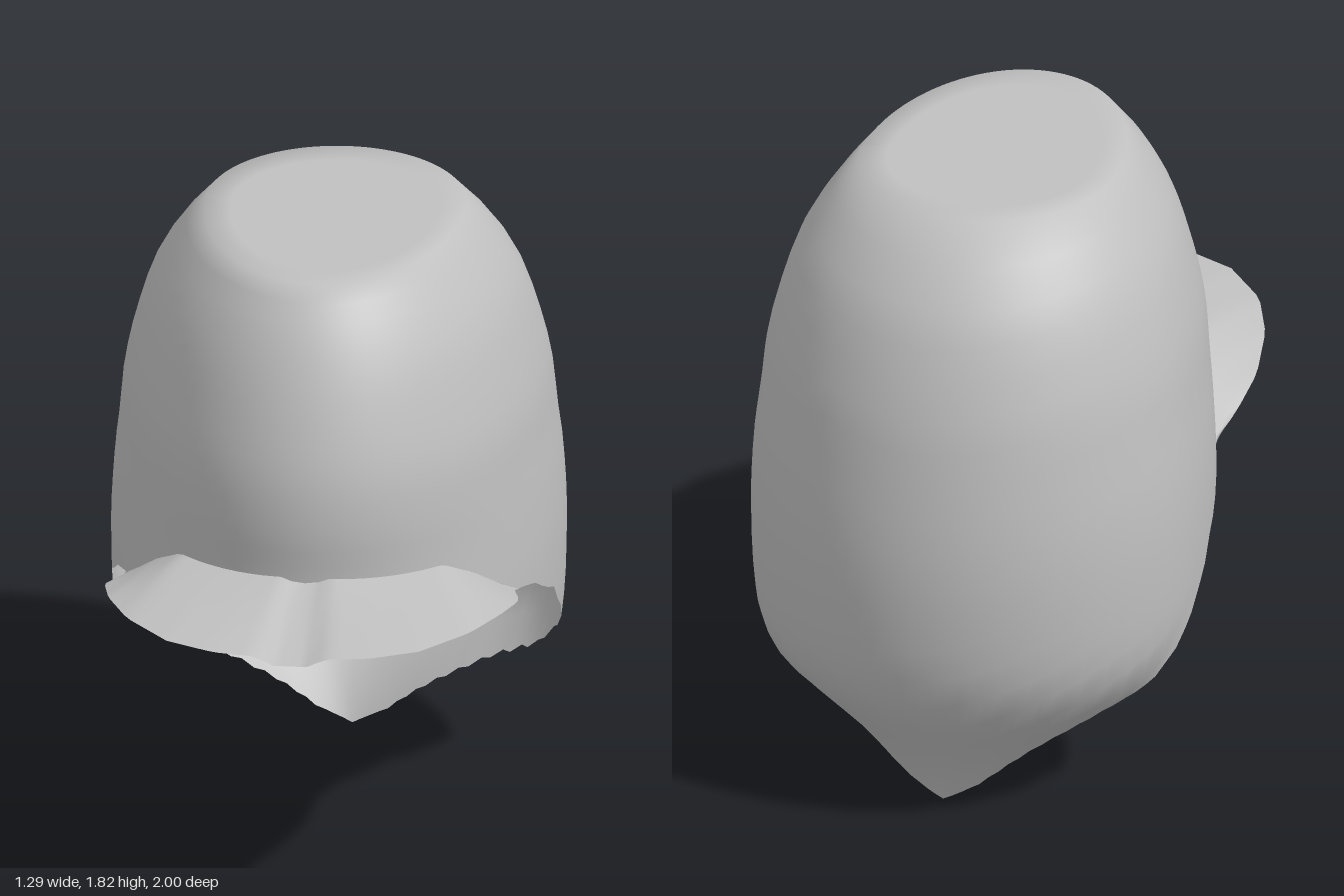
import * as THREE from 'three';

// smooth interpolation through rows of [key, value...]
function sample(rows, t, col) {
  const n = rows.length;
  if (t <= rows[0][0]) return rows[0][col];
  if (t >= rows[n - 1][0]) return rows[n - 1][col];
  let i = 0;
  while (rows[i + 1][0] < t) i++;
  const slope = k => {
    const a = rows[Math.max(k - 1, 0)], b = rows[Math.min(k + 1, n - 1)];
    return (b[col] - a[col]) / (b[0] - a[0]);
  };
  const h = rows[i + 1][0] - rows[i][0], s = (t - rows[i][0]) / h, s2 = s * s, s3 = s2 * s;
  return (2 * s3 - 3 * s2 + 1) * rows[i][col] + (s3 - 2 * s2 + s) * h * slope(i)
    + (3 * s2 - 2 * s3) * rows[i + 1][col] + (s3 - s2) * h * slope(i + 1);
}

// straight interpolation, keeps the ragged rim steps
function linear(rows, t, col) {
  let i = 0;
  while (i < rows.length - 2 && rows[i + 1][0] < t) i++;
  const a = rows[i], b = rows[i + 1];
  const s = THREE.MathUtils.clamp((t - a[0]) / (b[0] - a[0]), 0, 1);
  return a[col] + (b[col] - a[col]) * s;
}

// crown sections: height, half width, front z, widest z, back z
const SECTIONS = [
  [0, 0.40, 0.59, 0.10, -0.69], [0.05, 0.40, 0.59, 0.08, -0.70],
  [0.15, 0.43, 0.59, 0.00, -0.76], [0.28, 0.52, 0.59, -0.20, -0.86],
  [0.38, 0.59, 0.59, -0.34, -0.93], [0.50, 0.63, 0.59, -0.35, -0.975],
  [0.80, 0.645, 0.59, -0.35, -1.0], [1.02, 0.635, 0.59, -0.35, -0.985],
  [1.15, 0.62, 0.60, -0.34, -0.965], [1.30, 0.605, 0.59, -0.33, -0.94],
  [1.45, 0.57, 0.55, -0.32, -0.89], [1.60, 0.52, 0.49, -0.30, -0.83],
  [1.72, 0.45, 0.42, -0.28, -0.73], [1.82, 0.37, 0.33, -0.25, -0.63],
];
const TOP = 1.82;

// rim height by angle from the front
const RIM = [
  [0, 1.005], [0.05, 1.005], [0.1, 1.02], [0.63, 1.0], [0.78, 0.94], [0.95, 0.85],
  [1.08, 0.79], [1.19, 0.78], [1.25, 0.73], [1.34, 0.71], [1.52, 0.56],
  [1.65, 0.48], [1.88, 0.36], [2.2, 0.28], [2.6, 0.15], [2.9, 0.05], [Math.PI, 0],
];

// visor outer edge: parameter, x, y, z
const VISOR = [
  [0, 0, 0.93, 1.0], [0.07, 0.05, 0.93, 1.0], [0.12, 0.1, 0.955, 0.998],
  [0.25, 0.22, 0.957, 0.985], [0.4, 0.36, 0.957, 0.92], [0.55, 0.49, 0.955, 0.77],
  [0.68, 0.56, 0.94, 0.6], [0.82, 0.59, 0.9, 0.42], [0.92, 0.575, 0.85, 0.27],
  [1, 0.535, 0.79, 0.1],
];

function crownPoint(u, y) {
  const zc = sample(SECTIONS, y, 3), c = Math.cos(u);
  const reach = c > 0 ? sample(SECTIONS, y, 2) - zc : zc - sample(SECTIONS, y, 4);
  return new THREE.Vector3(sample(SECTIONS, y, 1) * Math.sin(u), y, zc + reach * c);
}

function rimHeight(u) {
  const a = Math.abs(u);
  const ragged = a > 1.1 && a < 3 ? 0.006 * Math.sin(a * 47) : 0;
  return linear(RIM, a, 1) + ragged;
}

// surface from a grid of points
function gridSurface(cols, rows, closed, point) {
  const pos = [], index = [], n = closed ? cols : cols + 1;
  for (let j = 0; j <= rows; j++)
    for (let i = 0; i < n; i++) pos.push(...point(i / cols, j).toArray());
  for (let j = 0; j < rows; j++)
    for (let i = 0; i < cols; i++) {
      const k = (i + 1) % n, a = j * n + i, b = j * n + k;
      index.push(a, b, b + n, a, b + n, a + n);
    }
  const g = new THREE.BufferGeometry();
  g.setAttribute('position', new THREE.Float32BufferAttribute(pos, 3));
  g.setIndex(index);
  g.computeVertexNormals();
  return g;
}

export function createModel() {
  const group = new THREE.Group();
  group.name = 'cap';
  const grey = new THREE.MeshStandardMaterial({ color: 0xc0c0c0, side: THREE.DoubleSide });
  grey.name = 'plain grey';

  // crown shell with a flat top and a hanging back flap
  const wall = 18, lids = [0.8, 0.4, 0];
  const crown = new THREE.Mesh(gridSurface(96, wall + lids.length, true, (s, j) => {
    const u = (s * 2 - 1) * Math.PI;
    if (j <= wall) {
      const e = rimHeight(u);
      return crownPoint(u, e + (TOP - e) * (j / wall));
    }
    const k = lids[j - wall - 1], p = crownPoint(u, TOP), zMid = -0.15;
    return new THREE.Vector3(p.x * k, TOP, zMid + (p.z - zMid) * k);
  }), grey);
  crown.name = 'crown';
  group.add(crown);

  // visor lofted from its outer edge to the crown rim
  const steps = 5;
  const visor = new THREE.Mesh(gridSurface(60, steps, false, (s, j) => {
    const t = s * 2 - 1, a = Math.abs(t), side = Math.sign(t);
    const outer = new THREE.Vector3(side * linear(VISOR, a, 1), linear(VISOR, a, 2), linear(VISOR, a, 3));
    const u = t * 1.08;
    const inner = crownPoint(u, rimHeight(u));
    return outer.lerp(inner, j / steps);
  }), grey);
  visor.name = 'visor';
  group.add(visor);

  return group;
}
